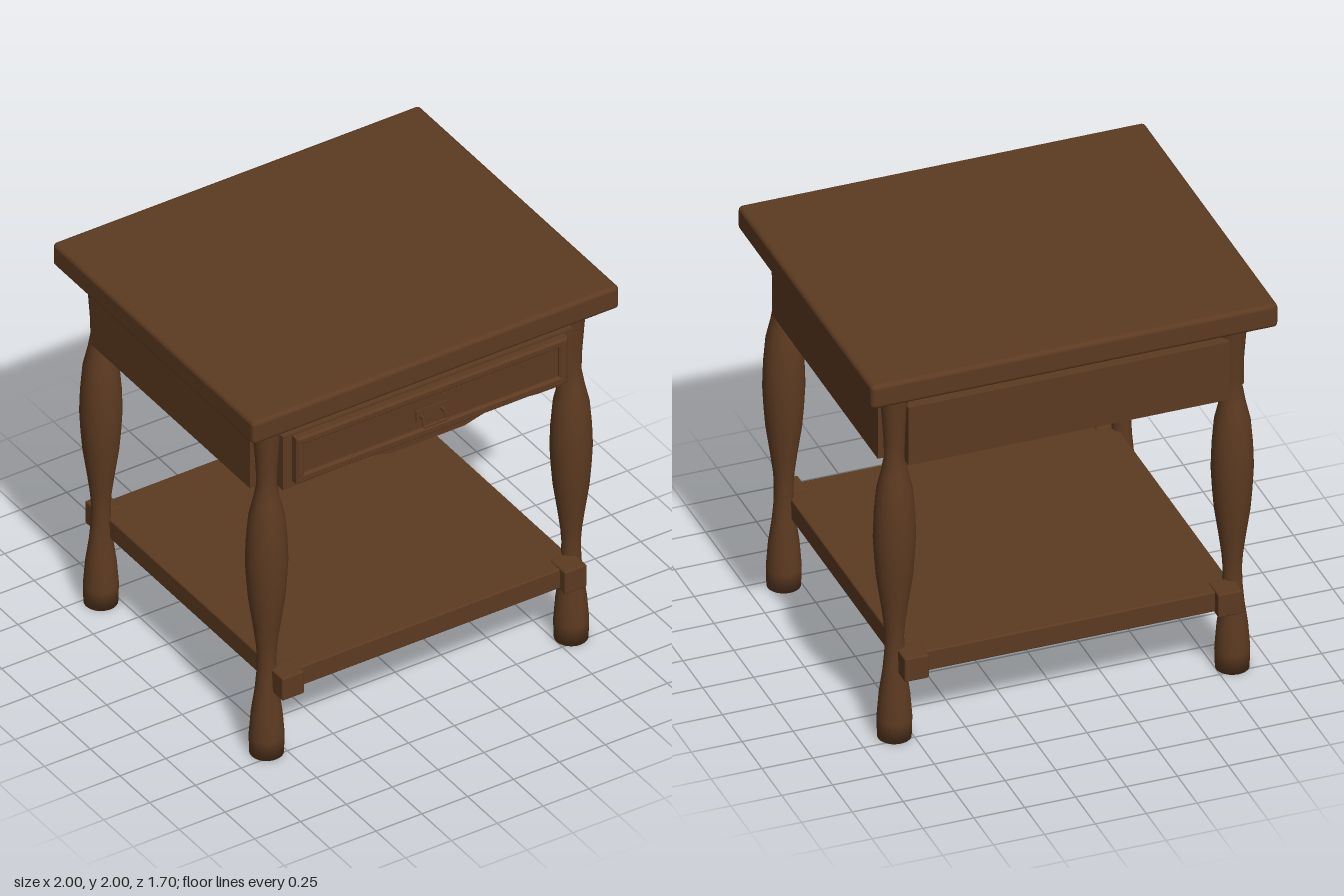
import * as THREE from 'three';
import { RoundedBoxGeometry } from 'three/addons/geometries/RoundedBoxGeometry.js';

const wood = new THREE.MeshStandardMaterial({ color: 0x5c3a21 });
wood.name = 'brownWood';

export function createModel() {
  const table = new THREE.Group();
  table.name = 'sideTable';

  const add = (name, geometry, x = 0, y = 0, z = 0) => {
    const mesh = new THREE.Mesh(geometry, wood);
    mesh.name = name;
    mesh.position.set(x, y, z);
    table.add(mesh);
    return mesh;
  };
  // Box given by its lowest and highest corners, optionally rounded
  const box = (name, [x0, y0, z0], [x1, y1, z1], r = 0) => {
    const size = [x1 - x0, y1 - y0, z1 - z0];
    const geometry = r ? new RoundedBoxGeometry(...size, 3, r) : new THREE.BoxGeometry(...size);
    return add(name, geometry, (x0 + x1) / 2, (y0 + y1) / 2, (z0 + z1) / 2);
  };
  const rectangle = (Type, x, y0, y1) => new Type([
    new THREE.Vector2(-x, y0), new THREE.Vector2(x, y0),
    new THREE.Vector2(x, y1), new THREE.Vector2(-x, y1),
  ]);

  // Table top and lower shelf
  box('tableTop', [-1, 1.875, -0.85], [1, 2, 0.85], 0.022);
  box('shelf', [-0.81, 0.37, -0.79], [0.81, 0.477, 0.79], 0.008);

  // Turned legs with a block fixing each one to the shelf
  const profile = [
    [0, 0], [0.08, 0], [0.083, 0.1], [0.073, 0.23], [0.056, 0.35], [0.047, 0.45],
    [0.045, 0.54], [0.05, 0.61], [0.063, 0.71], [0.085, 0.86], [0.094, 0.97], [0.1, 1.08],
    [0.096, 1.2], [0.085, 1.33], [0.062, 1.43], [0.048, 1.51], [0.05, 1.6],
    [0.06, 1.74], [0.069, 1.85], [0.07, 1.88],
  ].map(([r, y]) => new THREE.Vector2(r, y));
  const legGeometry = new THREE.LatheGeometry(profile, 24);
  const blockGeometry = new RoundedBoxGeometry(0.12, 0.125, 0.125, 2, 0.008);
  for (const sx of [-1, 1]) {
    for (const sz of [-1, 1]) {
      add('leg', legGeometry, sx * 0.83, 0, sz * 0.7);
      add('shelfBlock', blockGeometry, sx * 0.77, 0.4225, sz * 0.772);
    }
    // Side aprons
    const x = sx * 0.87;
    box('sideApron', [x - 0.03, 1.49, -0.67], [x + 0.03, 1.8, 0.67]);
  }
  box('backApron', [-0.79, 1.49, -0.775], [0.79, 1.8, -0.715]);

  // Front apron with a scalloped lower edge, open behind the drawer front
  const apron = new THREE.Shape([
    [-0.79, 1.8], [-0.79, 1.5], [-0.6, 1.502], [-0.38, 1.527], [-0.2, 1.48],
    [0.2, 1.48], [0.38, 1.527], [0.6, 1.502], [0.79, 1.5], [0.79, 1.8],
  ].map(([x, y]) => new THREE.Vector2(x, y)));
  apron.holes.push(rectangle(THREE.Path, 0.71, 1.56, 1.77));
  add('frontApron', new THREE.ExtrudeGeometry(apron, { depth: 0.06, bevelEnabled: false }), 0, 0, 0.715);

  // Drawer: recessed front, moulded frame, and an open-backed tray
  box('drawerFront', [-0.72, 1.55, 0.76], [0.72, 1.78, 0.8]);
  const frame = rectangle(THREE.Shape, 0.73, 1.545, 1.78);
  frame.holes.push(rectangle(THREE.Path, 0.705, 1.572, 1.755));
  add('drawerFrame', new THREE.ExtrudeGeometry(frame, {
    depth: 0.03, bevelSize: 0.01, bevelThickness: 0.01, bevelSegments: 1,
  }), 0, 0, 0.777);
  box('drawerBottom', [-0.7, 1.575, 0.08], [0.7, 1.595, 0.765]);
  for (const s of [-1, 1]) {
    box('drawerSide', [s * 0.69 - 0.01, 1.575, 0.08], [s * 0.69 + 0.01, 1.77, 0.765]);
  }

  // Handle: back plate, two posts and a hanging bail
  box('handlePlate', [-0.083, 1.628, 0.8], [0.083, 1.686, 0.807]);
  for (const s of [-1, 1]) {
    const post = add('handlePost', new THREE.CylinderGeometry(0.011, 0.011, 0.03, 12), s * 0.058, 1.655, 0.82);
    post.rotation.x = Math.PI / 2;
  }
  const bail = new THREE.CurvePath();
  const path = [[-0.058, 1.655, 0.828], [-0.062, 1.612, 0.84], [0.062, 1.612, 0.84], [0.058, 1.655, 0.828]]
    .map((p) => new THREE.Vector3(...p));
  for (let i = 0; i < 3; i++) bail.add(new THREE.LineCurve3(path[i], path[i + 1]));
  add('handleBail', new THREE.TubeGeometry(bail, 40, 0.008, 8));

  return table;
}
